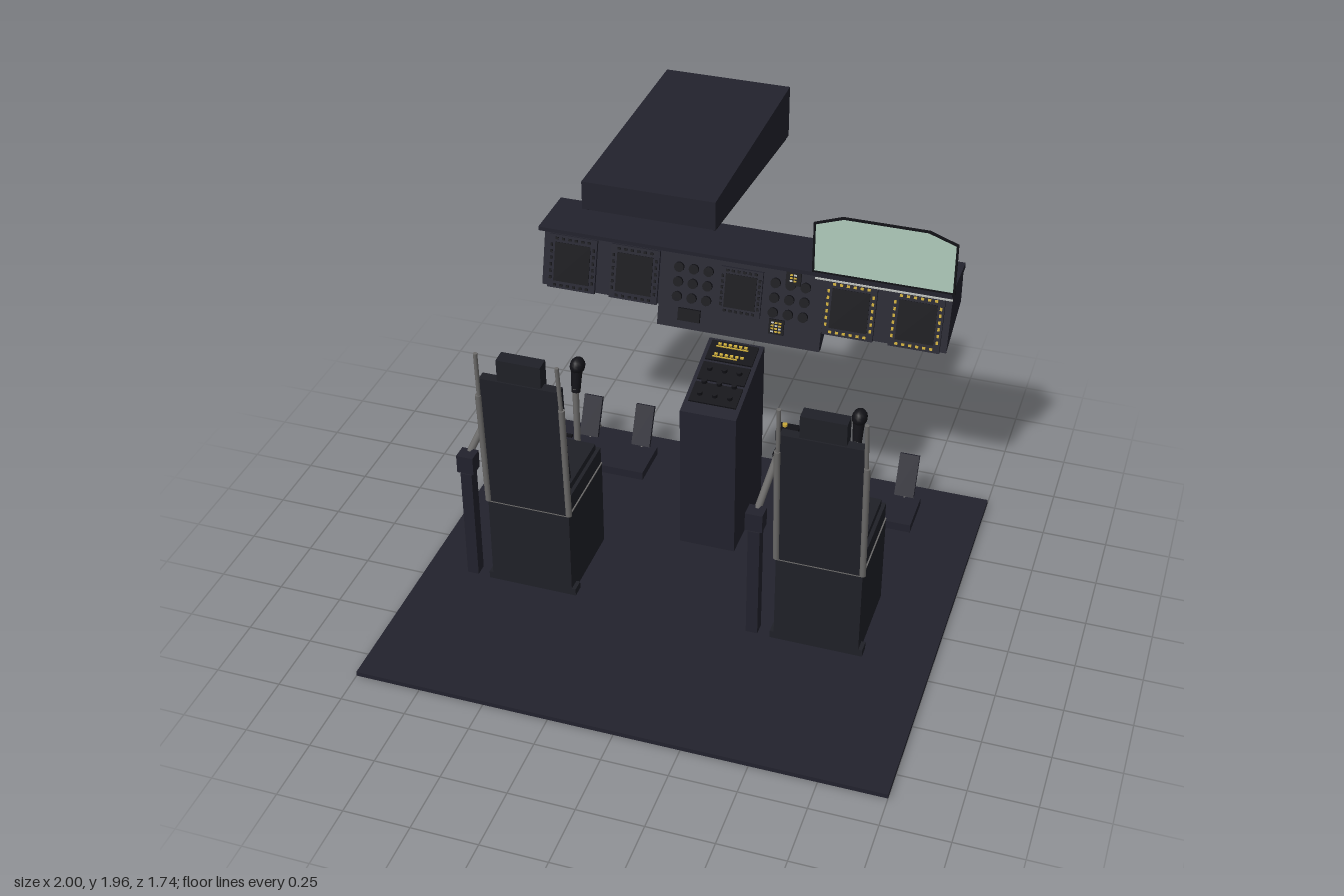
import * as THREE from 'three';

const mat = (name, color, side = THREE.FrontSide) => {
  const m = new THREE.MeshStandardMaterial({ color, side });
  m.name = name;
  return m;
};

export function createModel() {
  const body = mat('body dark blue grey', 0x22222d);
  const seatMat = mat('seat charcoal', 0x1f2027);
  const black = mat('near black', 0x121217);
  const metal = mat('metal grey', 0x6b6a69);
  const yellow = mat('label yellow', 0xc8a838);
  const white = mat('label white', 0xb9bcb9);
  const glass = mat('pale green glass', 0xb0ccbc, THREE.DoubleSide);

  const add = (parent, name, geo, material, x = 0, y = 0, z = 0) => {
    const m = new THREE.Mesh(geo, material);
    m.name = name;
    m.position.set(x, y, z);
    parent.add(m);
    return m;
  };
  const box = (parent, name, w, h, d, material, x, y, z) =>
    add(parent, name, new THREE.BoxGeometry(w, h, d), material, x, y, z);
  // Solid with a [z, y] side profile, running from x0 to x1
  const prism = (parent, name, profile, x0, x1, material) => {
    const shape = new THREE.Shape(profile.map(([z, y]) => new THREE.Vector2(-z, y)));
    const geo = new THREE.ExtrudeGeometry(shape, { depth: x1 - x0, bevelEnabled: false });
    geo.rotateY(Math.PI / 2);
    return add(parent, name, geo, material, x0);
  };
  // Cylinder between two points
  const rod = (parent, name, a, b, r, material, r2 = r) => {
    const p = new THREE.Vector3(...a), q = new THREE.Vector3(...b), d = q.clone().sub(p);
    const m = add(parent, name, new THREE.CylinderGeometry(r2, r, d.length(), 12), material);
    m.position.copy(p).add(q).multiplyScalar(0.5);
    m.quaternion.setFromUnitVectors(new THREE.Vector3(0, 1, 0), d.normalize());
    return m;
  };
  const group = (parent, name, x = 0, y = 0, z = 0, rx = 0) => {
    const g = new THREE.Group();
    g.name = name;
    g.position.set(x, y, z);
    g.rotation.x = rx;
    parent.add(g);
    return g;
  };

  const model = new THREE.Group();
  model.name = 'cockpit';
  box(model, 'floor', 2, 0.018, 1.74, body, 0, 0.009, 0);

  // Overhead console with switch rows on its sloping underside
  prism(model, 'overheadConsole', [[0.42, 1.955], [0.42, 1.855], [-0.45, 1.765], [-0.45, 1.955]], -0.228, 0.225, body);
  const over = group(model, 'overheadSwitches', 0, 1.81, -0.015, -0.103);
  for (const sx of [-1, 1]) box(over, 'overheadRail', 0.008, 0.012, 0.84, black, sx * 0.217, -0.003, 0);
  for (let r = 0; r < 4; r++) {
    for (const x of [-0.14, 0, 0.14]) box(over, 'switchPlate', 0.125, 0.006, 0.18, black, x, -0.002, -0.31 + r * 0.205);
    for (let c = 0; c < 9; c++) box(over, 'switch', 0.012, 0.012, 0.018, body, -0.168 + c * 0.042, -0.008, -0.31 + r * 0.205);
  }

  // Instrument panel: lower centre section and two shallower wings
  const wing = [[-0.627, 0.85], [-0.87, 0.94], [-0.87, 1.1], [-0.69, 1.1]];
  prism(model, 'panelWing', wing, -0.82, -0.33, body);
  prism(model, 'panelWing', wing, 0.33, 0.82, body);
  prism(model, 'panelCentre', [[-0.605, 0.77], [-0.63, 0.765], [-0.87, 0.94], [-0.87, 1.1], [-0.69, 1.1]], -0.33, 0.33, body);
  prism(model, 'glareshield', [[-0.625, 1.112], [-0.872, 1.112], [-0.872, 1.088], [-0.7, 1.075], [-0.625, 1.096]], -0.825, 0.825, body);

  // Instruments sit on the tilted face: local y runs up the face
  const face = group(model, 'instruments', 0, 0.77, -0.605, -0.25);
  const display = (x, y, s, button) => {
    box(face, 'displayFrame', s, s * 1.1, 0.012, body, x, y, 0.006);
    box(face, 'displayScreen', s * 0.74, s * 0.8, 0.004, black, x, y, 0.013);
    for (let i = 0; i < 6; i++) for (const k of [-1, 1]) {
      const t = (i - 2.5) * s * 0.135;
      box(face, 'displayButton', 0.012, 0.009, 0.006, button, x + t, y + k * s * 0.48, 0.014);
      box(face, 'displayButton', 0.009, 0.012, 0.006, button, x + k * s * 0.44, y + t, 0.014);
    }
  };
  for (const x of [0.435, 0.695]) {
    display(x, 0.19, 0.2, yellow);
    display(-x, 0.19, 0.2, black);
  }
  display(0, 0.19, 0.17, black);
  for (const sx of [-1, 1]) for (let r = 0; r < 3; r++) for (let c = 0; c < 3; c++)
    rod(face, 'dial', [sx * (0.135 + c * 0.06), 0.13 + r * 0.06, 0], [sx * (0.135 + c * 0.06), 0.13 + r * 0.06, 0.012], 0.02, black);
  for (const [px, py, cols, rows] of [[0.205, 0.283, 2, 3], [0.155, 0.075, 3, 4]]) {
    box(face, 'keypad', 0.06, 0.06, 0.008, black, px, py, 0.01);
    for (let c = 0; c < cols; c++) for (let r = 0; r < rows; r++)
      box(face, 'keypadKey', 0.011, 0.006, 0.004, (r + c) % 3 ? yellow : white,
        px + (c - (cols - 1) / 2) * 0.015, py + (r - (rows - 1) / 2) * 0.012, 0.016);
  }
  box(face, 'lowerModule', 0.09, 0.05, 0.012, black, -0.2, 0.06, 0.006);

  // Chamfered display glass with a thin dark rim
  const outline = (inset) => [[-0.275, 0], [0.275, 0], [0.275, 0.215], [0.165, 0.255], [-0.165, 0.255], [-0.275, 0.215]]
    .map(([x, y]) => new THREE.Vector2(x * (1 - inset / 0.275), 0.1275 + (y - 0.1275) * (1 - inset / 0.1275)));
  const rim = new THREE.Shape(outline(0));
  rim.holes.push(new THREE.Path(outline(0.008)));
  add(model, 'glassRim', new THREE.ExtrudeGeometry(rim, { depth: 0.008, bevelEnabled: false }), black, 0.56, 1.11, -0.634);
  add(model, 'headUpGlass', new THREE.ShapeGeometry(new THREE.Shape(outline(0.006))), glass, 0.56, 1.11, -0.63);
  box(model, 'glassFootStrip', 0.53, 0.006, 0.006, white, 0.565, 1.09, -0.622);

  // Centre pedestal with keypads on its sloping top
  prism(model, 'pedestal', [[-0.23, 0.018], [-0.605, 0.018], [-0.605, 0.75], [-0.23, 0.648]], -0.112, 0.112, body);
  const top = group(model, 'pedestalControls', 0, 0.699, -0.4175, 0.2655);
  for (const [z, d] of [[-0.13, 0.1], [-0.02, 0.09], [0.09, 0.1]]) box(top, 'controlPlate', 0.19, 0.008, d, black, 0, 0.003, z);
  [-0.162, -0.108].forEach((z, r) => {
    box(top, 'labelBar', 0.13 - r * 0.03, 0.004, 0.005, yellow, -0.005 - r * 0.015, 0.009, z + 0.012);
    for (let c = 0; c < 6; c++) box(top, 'pedestalKey', 0.013, 0.008, 0.009, yellow, -0.058 + c * 0.021, 0.01, z);
  });
  for (const z of [-0.03, 0.04, 0.1]) for (const x of [-0.06, 0, 0.06])
    rod(top, 'pedestalKnob', [x, 0, z], [x, 0.022, z], 0.011, black);

  // Crew stations
  for (const side of [-1, 1]) {
    const s = group(model, side > 0 ? 'leftStation' : 'rightStation', side * 0.565);

    // Seat
    box(s, 'seatBase', 0.325, 0.375, 0.36, seatMat, 0, 0.2055, 0.035);
    box(s, 'seatTrim', 0.328, 0.004, 0.362, metal, 0, 0.395, 0.035);
    box(s, 'seatPan', 0.318, 0.07, 0.36, seatMat, 0, 0.432, 0.035);
    box(s, 'seatCushion', 0.29, 0.03, 0.29, seatMat, 0, 0.48, 0.02);
    prism(s, 'seatBackShell', [[0.16, 0.4], [0.215, 0.4], [0.247, 0.975], [0.205, 0.975]], -0.155, 0.155, seatMat);
    prism(s, 'backCushion', [[0.11, 0.5], [0.17, 0.5], [0.215, 0.92], [0.18, 0.905]], -0.135, 0.135, seatMat);
    prism(s, 'headrest', [[0.185, 0.93], [0.24, 0.93], [0.242, 1.065], [0.188, 1.068]], -0.085, 0.085, seatMat);
    box(s, 'pullHandle', 0.08, 0.01, 0.012, side > 0 ? yellow : black, 0, 0.49, -0.153);
    for (const k of [-1, 1]) {
      rod(s, 'seatRail', [k * 0.162, 0.4, 0.212], [k * 0.162, 0.9, 0.243], 0.012, metal);
      rod(s, 'railTip', [k * 0.16, 0.88, 0.24], [k * 0.156, 1.09, 0.257], 0.008, metal);
      box(s, 'baseFoot', 0.016, 0.03, 0.05, seatMat, k * 0.17, 0.033, 0.19);
    }

    // Side lever on a post
    const lever = group(s, 'sideLever', -0.25);
    box(lever, 'leverPost', 0.045, 0.48, 0.05, body, 0, 0.255, 0.185);
    box(lever, 'leverPivot', 0.066, 0.075, 0.06, body, 0, 0.54, 0.185);
    rod(lever, 'leverArm', [0, 0.565, 0.17], [0, 0.635, -0.11], 0.014, metal);
    rod(lever, 'leverGrip', [0, 0.63, -0.09], [0, 0.63, -0.21], 0.02, black);
    box(lever, 'leverHead', 0.08, 0.045, 0.06, black, 0, 0.635, -0.235);
    box(lever, 'leverThumbBlock', 0.035, 0.03, 0.04, black, 0.028, 0.615, -0.2);
    rod(lever, 'leverButton', [-0.015, 0.65, -0.245], [-0.015, 0.667, -0.245], 0.01, yellow);

    // Control stick
    const stick = group(s, 'controlStick');
    rod(stick, 'stickBoot', [0, 0.018, -0.307], [0, 0.075, -0.307], 0.038, black, 0.03);
    rod(stick, 'stickPole', [0, 0.06, -0.307], [0, 0.61, -0.305], 0.013, metal);
    rod(stick, 'stickGrip', [0, 0.59, -0.308], [0, 0.7, -0.328], 0.018, black, 0.024);
    const head = add(stick, 'stickHead', new THREE.SphereGeometry(1, 12, 8), black, 0, 0.695, -0.335);
    head.scale.set(0.03, 0.035, 0.038);
    box(stick, 'stickTrigger', 0.014, 0.04, 0.02, black, 0, 0.66, -0.355);

    // Pedals
    const pedals = group(s, 'pedals');
    box(pedals, 'pedalBase', 0.36, 0.036, 0.19, body, 0, 0.036, -0.657);
    for (const k of [-1, 1]) {
      const plate = box(pedals, 'pedalPlate', 0.08, 0.175, 0.016, body, k * 0.115, 0.145, -0.765);
      plate.rotation.x = -0.42;
      rod(pedals, 'pedalArm', [k * 0.115, 0.07, -0.79], [k * 0.115, 0.026, -0.86], 0.007, metal);
      rod(pedals, 'pedalLink', [k * 0.115, 0.045, -0.73], [k * 0.115, 0.07, -0.79], 0.007, metal);
    }
  }
  return model;
}
